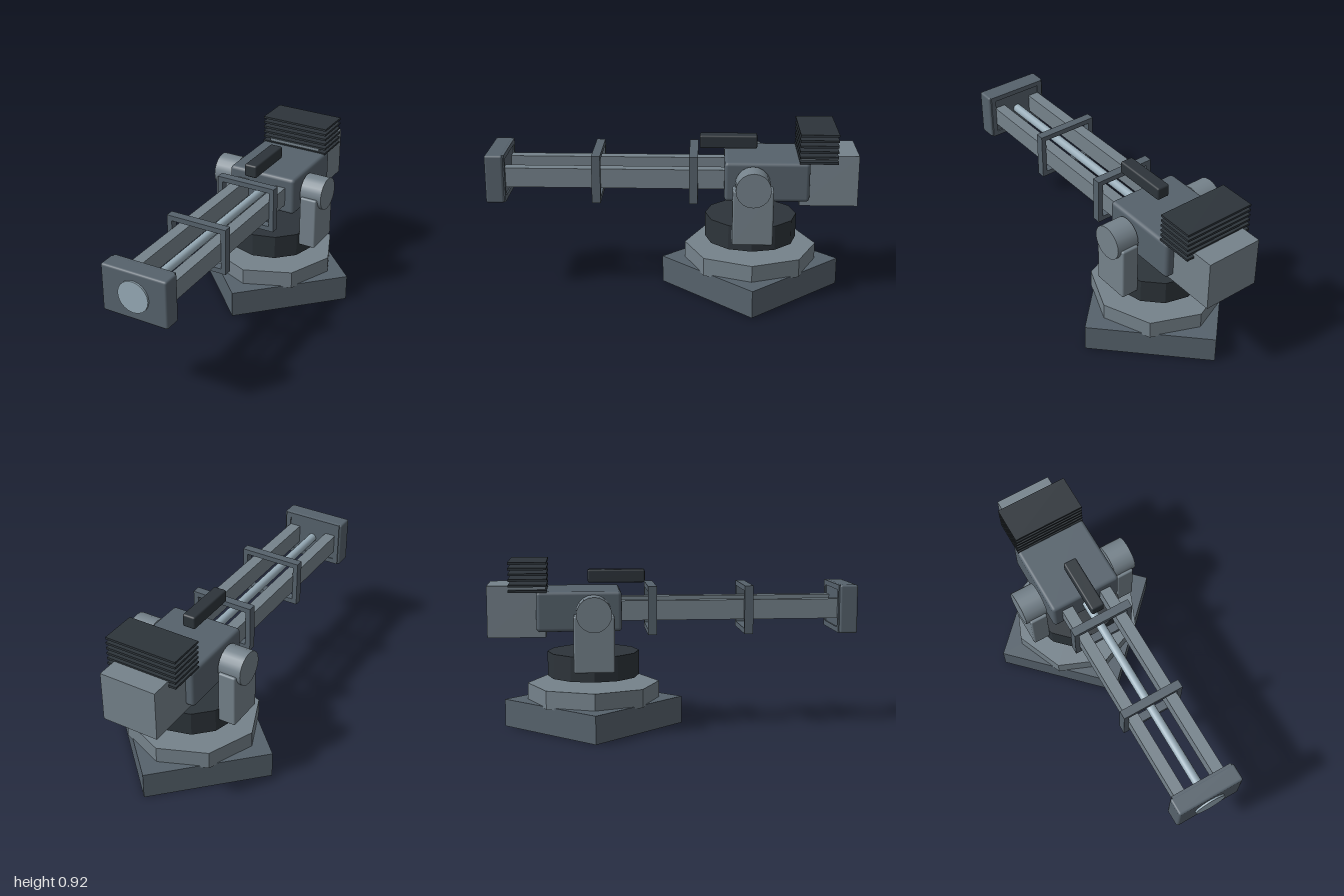
import * as THREE from 'three';
import { RoundedBoxGeometry } from 'three/addons/geometries/RoundedBoxGeometry.js';

const mat = (color, flatShading = false) => new THREE.MeshStandardMaterial({ color, flatShading });

export function createModel() {
  const model = new THREE.Group();
  model.name = 'turret';
  const slate = mat(0x56626c), steel = mat(0x75828b), dark = mat(0x2d343a), glass = mat(0x98acb8);
  const slateFlat = mat(0x56626c, true), steelFlat = mat(0x75828b, true), darkFlat = mat(0x2d343a, true);
  const axisY = 0.65, pivotZ = -0.438;

  const add = (name, geometry, material, x, y, z, parent = model) => {
    const mesh = new THREE.Mesh(geometry, material);
    mesh.name = name;
    mesh.position.set(x, y, z);
    parent.add(mesh);
    return mesh;
  };
  // Box given by its extents [min, max] on each axis; r rounds the edges
  const block = (name, material, [x0, x1], [y0, y1], [z0, z1], r = 0, parent = model) => {
    const size = [x1 - x0, y1 - y0, z1 - z0];
    const geometry = r ? new RoundedBoxGeometry(...size, 2, r) : new THREE.BoxGeometry(...size);
    return add(name, geometry, material, (x0 + x1) / 2, (y0 + y1) / 2, (z0 + z1) / 2, parent);
  };
  const drum = (name, material, radius, y0, y1, sides) =>
    add(name, new THREE.CylinderGeometry(radius, radius, y1 - y0, sides), material, 0, (y0 + y1) / 2, pivotZ);

  // Stacked base
  drum('basePlinth', slateFlat, 0.486, 0, 0.15, 4);
  drum('baseRing', steelFlat, 0.361, 0.14, 0.24, 8);
  drum('turntable', darkFlat, 0.25, 0.28, 0.415, 12);

  // Yoke arms with trunnions
  for (const side of [-1, 1]) {
    const yoke = new THREE.Group();
    yoke.name = side > 0 ? 'leftYoke' : 'rightYoke';
    model.add(yoke);
    add('yokeArm', new RoundedBoxGeometry(0.1, 0.3, 0.215, 2, 0.01), steel, side * 0.27, 0.492, pivotZ, yoke);
    const trunnion = add('trunnion', new THREE.CylinderGeometry(0.093, 0.093, 0.127, 20), steel,
      side * 0.2765, axisY, pivotZ, yoke);
    trunnion.rotation.z = Math.PI / 2;
  }

  // Body, rear power pack, sight
  block('housing', slate, [-0.203, 0.203], [0.545, 0.76], [-0.74, -0.288], 0.02);
  block('powerPack', steel, [-0.157, 0.157], [0.512, 0.788], [-1, -0.69]);
  block('sight', dark, [-0.037, 0.037], [0.79, 0.862], [-0.465, -0.155], 0.01);

  // Cooling fins
  for (let i = 0; i < 6; i++) {
    const y = 0.761 + i * 0.0296;
    block('coolingFin', dark, [-0.2, 0.2], [y - 0.006, y + 0.006], [-0.885, -0.683]);
  }

  // Twin rails around the slim core
  for (const side of [-1, 1]) {
    add('rail', new THREE.BoxGeometry(0.063, 0.106, 1.21), steel, side * 0.1165, axisY, 0.305);
  }
  const core = add('core', new THREE.CylinderGeometry(0.025, 0.025, 1.21, 12), glass, 0, axisY, 0.305);
  core.rotation.x = Math.PI / 2;

  // Open rectangular brackets along the rails
  const frame = new THREE.Shape();
  frame.moveTo(-0.174, -0.13).lineTo(0.174, -0.13).lineTo(0.174, 0.13).lineTo(-0.174, 0.13).closePath();
  const hole = new THREE.Path();
  hole.moveTo(-0.146, -0.102).lineTo(-0.146, 0.102).lineTo(0.146, 0.102).lineTo(0.146, -0.102).closePath();
  frame.holes.push(hole);
  const frameGeometry = new THREE.ExtrudeGeometry(frame, { depth: 0.047, bevelEnabled: false });
  for (const z of [-0.147, 0.373, 0.885]) add('railBracket', frameGeometry, slate, 0, axisY, z);

  // Muzzle block and lens
  block('muzzle', slate, [-0.187, 0.187], [0.517, 0.781], [0.892, 0.99], 0.012);
  const lens = add('lens', new THREE.CylinderGeometry(0.087, 0.087, 0.03, 20), glass, 0, axisY, 0.985);
  lens.rotation.x = Math.PI / 2;

  return model;
}
